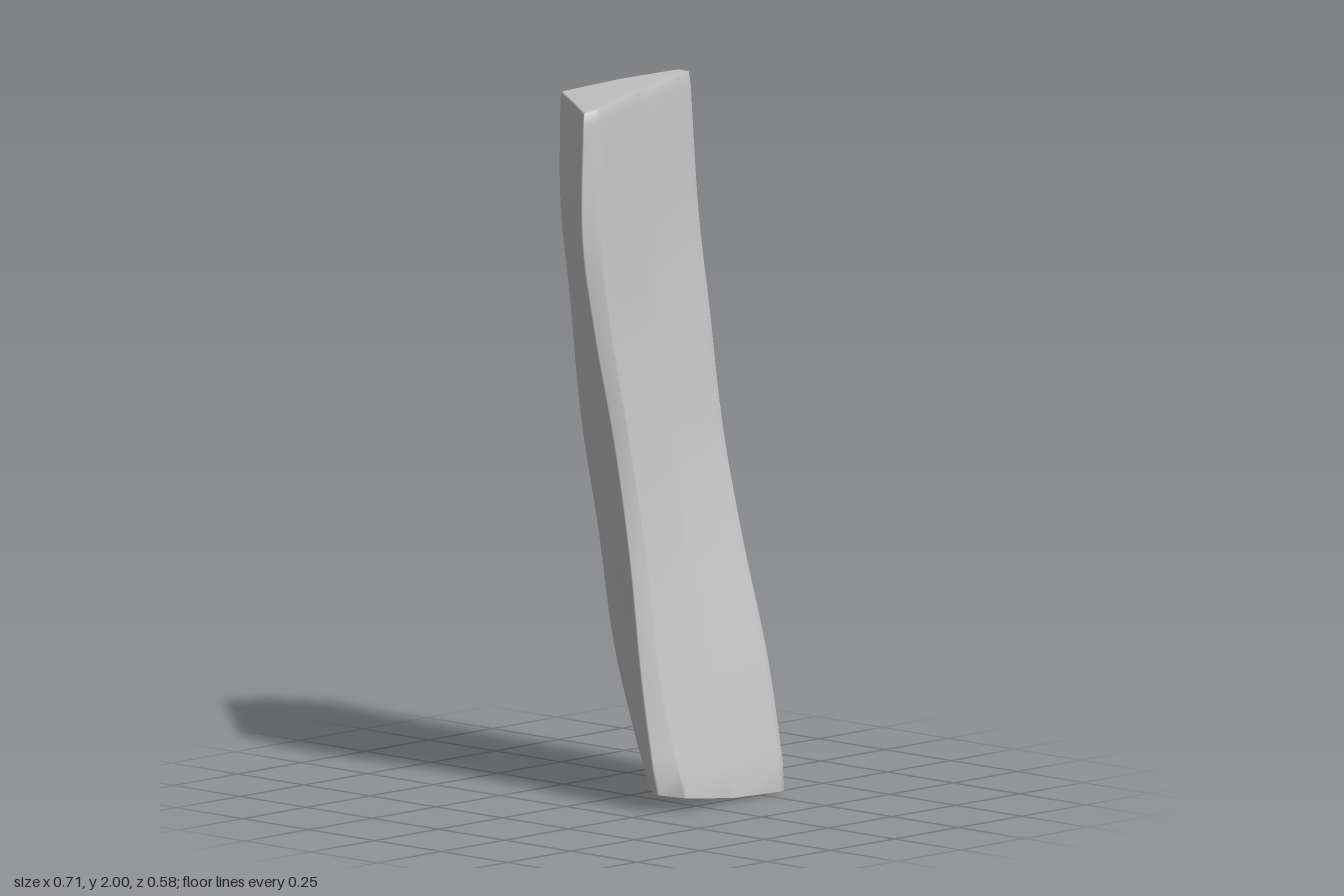
import * as THREE from 'three';

// Cross-sections of the split log from bottom to top: height, then x,z corners running
// left edge, left chamfer, front middle, front right edge, bark, bark middle, back edge, back-left middle
const SECTIONS = [
  [0.0, -0.165, 0.255, -0.09, 0.30, 0.12, 0.28, 0.345, 0.265, 0.355, 0.15, 0.31, -0.01, 0.20, -0.14, 0.02, 0.05],
  [0.36, -0.185, 0.22, -0.14, 0.255, 0.07, 0.235, 0.31, 0.23, 0.335, 0.12, 0.285, -0.05, 0.165, -0.22, 0.01, 0.03],
  [0.7, -0.20, 0.19, -0.16, 0.22, 0.03, 0.19, 0.27, 0.17, 0.305, 0.09, 0.26, -0.07, 0.12, -0.24, -0.03, -0.02],
  [1.0, -0.235, 0.17, -0.20, 0.20, 0.0, 0.16, 0.24, 0.125, 0.275, 0.06, 0.22, -0.10, 0.08, -0.265, -0.07, -0.04],
  [1.35, -0.31, 0.16, -0.27, 0.19, -0.04, 0.14, 0.20, 0.11, 0.235, 0.04, 0.18, -0.12, 0.05, -0.28, -0.12, -0.05],
  [1.6, -0.355, 0.16, -0.31, 0.19, -0.06, 0.135, 0.17, 0.10, 0.205, 0.03, 0.15, -0.14, 0.03, -0.295, -0.15, -0.06],
  [1.95, -0.355, 0.165, -0.32, 0.185, -0.09, 0.135, 0.14, 0.095, 0.18, 0.02, 0.125, -0.15, 0.02, -0.285, -0.165, -0.06],
];

// Sloping end cuts
const topY = (x, z) => 2 + 0.13 * (x - 0.14) + 0.196 * (z - 0.095);
const bottomY = (x, z) => 0.19 * (0.355 - x) ** 2 + 0.15 * Math.max(0, -z);

// One ring of points with softened corners
function ring(section, level) {
  const corners = [];
  for (let i = 1; i < section.length; i += 2) {
    const x = section[i], z = section[i + 1];
    const y = level === 0 ? bottomY(x, z) : level === SECTIONS.length - 1 ? topY(x, z) : section[0];
    corners.push(new THREE.Vector3(x, y, z));
  }
  const n = corners.length, out = [];
  corners.forEach((p, i) => {
    const a = p.clone().lerp(corners[(i + n - 1) % n], 0.1);
    const b = p.clone().lerp(corners[(i + 1) % n], 0.1);
    const mid = a.clone().add(b).multiplyScalar(0.5);
    out.push(a, p.clone().lerp(mid, 0.25), b);
  });
  return out;
}

// Shrink a ring towards its middle and shift it vertically
function inset(points, scale, dy) {
  const c = points.reduce((s, p) => s.add(p), new THREE.Vector3()).divideScalar(points.length);
  return points.map((p) => p.clone().sub(c).multiplyScalar(scale).add(c).add(new THREE.Vector3(0, dy, 0)));
}

function logGeometry() {
  const keys = SECTIONS.map(ring);
  const n = keys[0].length, steps = 36;

  // Smooth curves along the length
  const columns = keys[0].map((_, j) => new THREE.CatmullRomCurve3(keys.map((k) => k[j])));
  const body = [];
  for (let i = 0; i <= steps; i++) {
    const t = i === 0 ? 0.04 : i === steps ? 0.985 : 0.04 + (0.945 * i) / steps;
    body.push(columns.map((c) => c.getPoint(t)));
  }

  // Rounded rims and end faces
  const low = keys[0], high = keys[keys.length - 1];
  const rings = [
    inset(low, 0.02, 0.015), inset(low, 0.5, 0.008), inset(low, 0.92, 0.001), inset(low, 0.97, 0.002),
    ...body,
    inset(high, 0.985, -0.003), inset(high, 0.95, 0), inset(high, 0.5, 0), inset(high, 0.02, 0),
  ];

  const pos = [], index = [];
  rings.forEach((r) => r.forEach((p) => pos.push(p.x, p.y, p.z)));
  for (let i = 0; i < rings.length - 1; i++) {
    for (let j = 0; j < n; j++) {
      const a = i * n + j, b = i * n + ((j + 1) % n);
      index.push(a, b, b + n, a, b + n, a + n);
    }
  }
  // Close the tiny end holes
  const last = (rings.length - 1) * n;
  for (let j = 1; j < n - 1; j++) {
    index.push(0, j + 1, j);
    index.push(last, last + j, last + j + 1);
  }

  const geo = new THREE.BufferGeometry();
  geo.setAttribute('position', new THREE.Float32BufferAttribute(pos, 3));
  geo.setIndex(index);
  geo.computeVertexNormals();
  return geo;
}

export function createModel() {
  const group = new THREE.Group();
  group.name = 'firewood';
  const log = new THREE.Mesh(logGeometry(), new THREE.MeshStandardMaterial({ color: 0xcccccc }));
  log.name = 'splitLog';
  group.add(log);
  return group;
}
